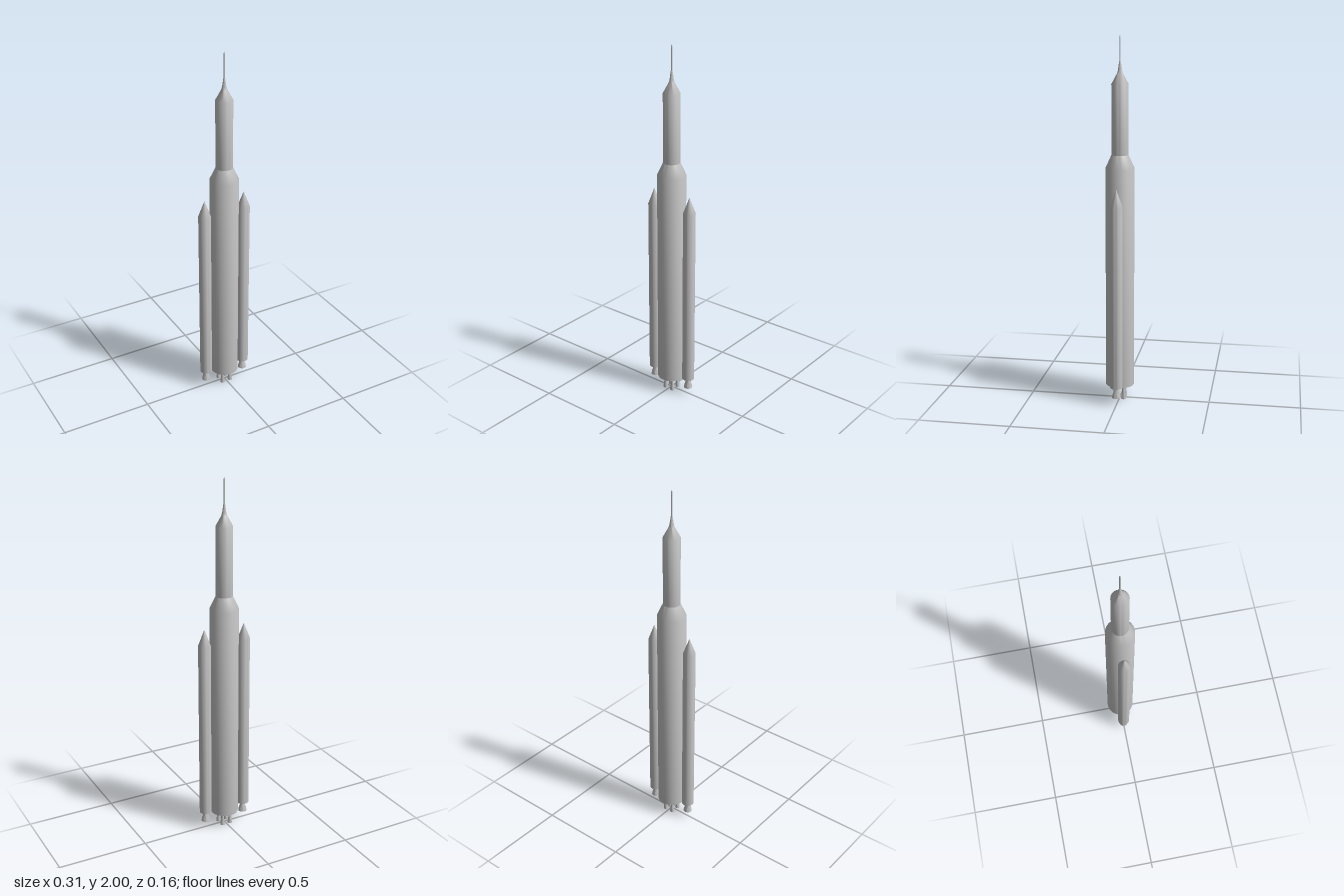
import * as THREE from 'three';
import { toCreasedNormals } from 'three/addons/utils/BufferGeometryUtils.js';

const hull = new THREE.MeshStandardMaterial({ name: 'hullGrey', color: 0xc0c0c0 });

// Turned part from [radius, height] pairs listed bottom to top
function turned(name, profile, sides = 32) {
  const points = profile.map(([r, y]) => new THREE.Vector2(r, y));
  const geometry = toCreasedNormals(new THREE.LatheGeometry(points, sides), Math.PI / 4);
  const mesh = new THREE.Mesh(geometry, hull);
  mesh.name = name;
  return mesh;
}

export function createModel() {
  const rocket = new THREE.Group();
  rocket.name = 'rocket';

  // Core stage with its tapering shoulder
  rocket.add(turned('coreStage', [[0, 0.08], [0.078, 0.08], [0.078, 1.3], [0.046, 1.37]], 40));

  // Upper stage and nose cone
  rocket.add(turned('upperStage', [
    [0.046, 1.37], [0.046, 1.745], [0.016, 1.8], [0.011, 1.817], [0.005, 1.86], [0, 1.86],
  ], 40));

  // Escape tower spire
  rocket.add(turned('noseSpire', [
    [0, 1.855], [0.004, 1.855], [0.0035, 1.978], [0.0035, 1.99], [0, 2],
  ], 16));

  // Four core engines in a square
  for (const x of [-0.024, 0.024]) {
    for (const z of [-0.024, 0.024]) {
      const engine = turned('coreEngine', [
        [0, 0], [0.013, 0], [0.012, 0.015], [0.008, 0.045], [0.008, 0.085],
      ], 20);
      engine.position.set(x, 0, z);
      rocket.add(engine);
    }
  }

  // Side boosters, each with one nozzle
  for (const side of [-1, 1]) {
    const booster = new THREE.Group();
    booster.name = side > 0 ? 'leftBooster' : 'rightBooster';
    booster.add(turned('boosterBody', [[0, 0.1], [0.034, 0.1], [0.034, 1.11], [0, 1.2]]));
    booster.add(turned('boosterNozzle', [
      [0, 0.043], [0.024, 0.043], [0.021, 0.06], [0.013, 0.085], [0.013, 0.105],
    ], 24));
    booster.position.x = side * 0.12;
    rocket.add(booster);
  }

  return rocket;
}
